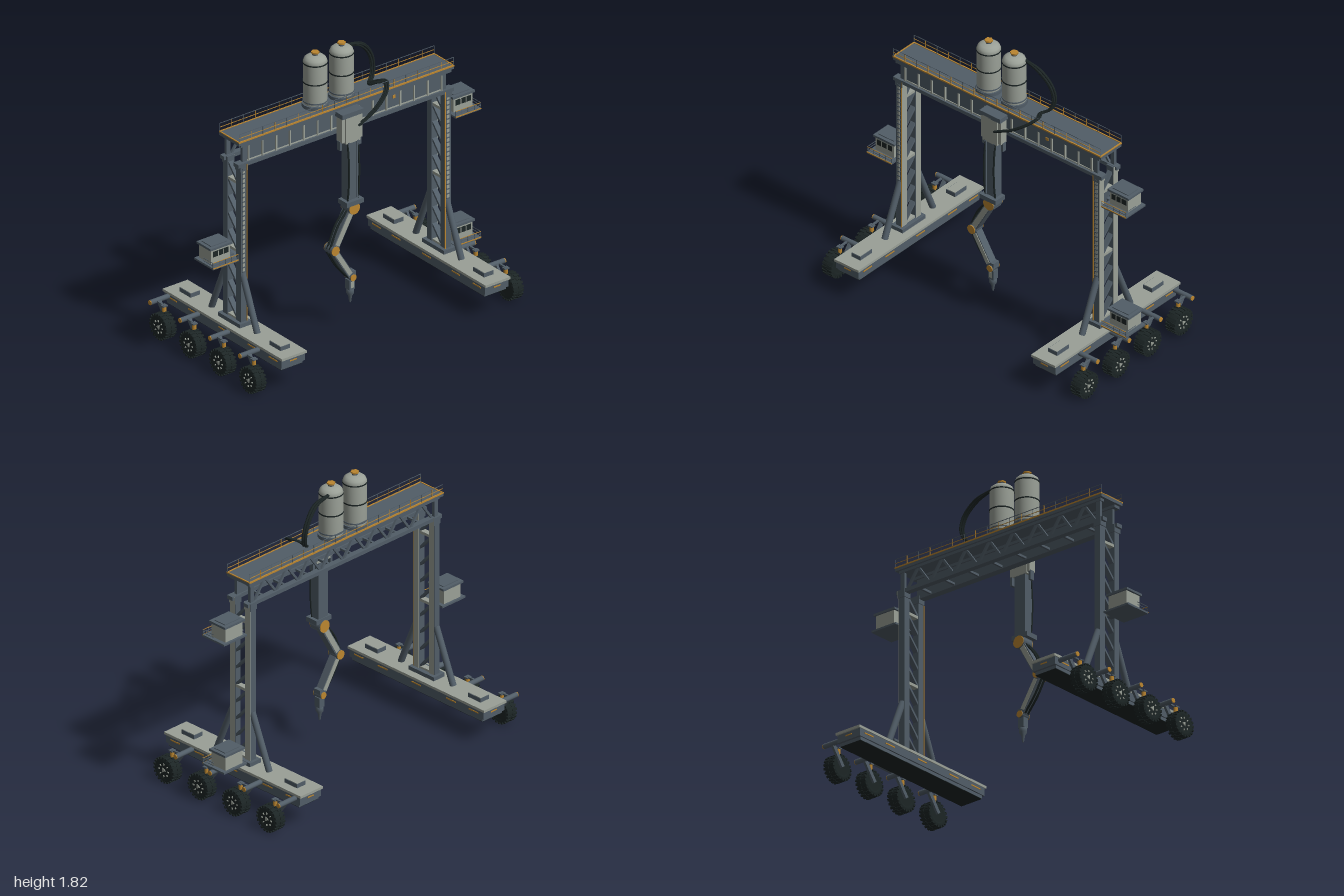
import * as THREE from 'three';

const mat = (name, color) => Object.assign(new THREE.MeshStandardMaterial({ color }), { name });
const light = mat('pale grey paint', 0x9aa097);
const slate = mat('slate steel', 0x515d67);
const dark = mat('black rubber', 0x1c2525);
const orange = mat('amber paint', 0xbb8630);
const UP = new THREE.Vector3(0, 1, 0);

const V = (a) => new THREE.Vector3(...a);
function add(parent, name, geo, m, x = 0, y = 0, z = 0) {
  const o = new THREE.Mesh(geo, m);
  o.name = name;
  o.position.set(x, y, z);
  parent.add(o);
  return o;
}
const box = (p, name, m, w, h, d, x, y, z) => add(p, name, new THREE.BoxGeometry(w, h, d), m, x, y, z);
// Box given by its limits
const span = (p, name, m, x0, x1, y0, y1, z0, z1) =>
  box(p, name, m, x1 - x0, y1 - y0, z1 - z0, (x0 + x1) / 2, (y0 + y1) / 2, (z0 + z1) / 2);
// Straight member between two points; round when d is left out
function beam(p, name, m, a, b, w, d) {
  const A = V(a), B = V(b), len = A.distanceTo(B);
  const geo = d ? new THREE.BoxGeometry(w, len, d) : new THREE.CylinderGeometry(w, w, len, 20);
  const o = add(p, name, geo, m);
  o.position.copy(A).add(B).multiplyScalar(0.5);
  o.quaternion.setFromUnitVectors(UP, B.sub(A).normalize());
  return o;
}
const tube = (p, name, m, pts, r) =>
  add(p, name, new THREE.TubeGeometry(new THREE.CatmullRomCurve3(pts.map(V)), 48, r, 7), m);
function group(parent, name, x = 0, y = 0, z = 0) {
  const g = new THREE.Group();
  g.name = name;
  g.position.set(x, y, z);
  parent.add(g);
  return g;
}

// Wheel on the outer side, with its swing arm and spring
function wheel(p, s, z) {
  const g = group(p, 'wheelUnit', 0, 0, z);
  const x = s * 0.96, y = 0.085;
  const profile = [[0.05, -0.034], [0.07, -0.038], [0.079, -0.028], [0.081, 0], [0.079, 0.028], [0.07, 0.038], [0.05, 0.034]];
  add(g, 'tyre', new THREE.LatheGeometry(profile.map((q) => new THREE.Vector2(...q)), 28), dark, x, y).rotation.z = Math.PI / 2;
  beam(g, 'rim', dark, [x - 0.033, y, 0], [x + 0.033, y, 0], 0.053);
  for (let i = 0; i < 20; i++) {
    const a = (i / 20) * Math.PI * 2;
    for (const k of [-1, 1]) {
      const b = a + k * 0.08;
      box(g, 'treadLug', dark, 0.036, 0.012, 0.014, x + k * 0.02, y + 0.078 * Math.cos(b), 0.078 * Math.sin(b)).rotation.x = b;
    }
  }
  for (let i = 0; i < 8; i++) {
    const a = (i / 8) * Math.PI * 2;
    box(g, 'wheelBolt', light, 0.008, 0.011, 0.007, x + s * 0.034, y + 0.038 * Math.cos(a), 0.038 * Math.sin(a)).rotation.x = a;
  }
  const cap = add(g, 'hubCap', new THREE.CylinderGeometry(0.017, 0.017, 0.008, 3), light, x + s * 0.035, y);
  cap.rotation.set(Math.PI, 0, Math.PI / 2);
  beam(g, 'armShaft', slate, [s * 0.83, 0.206, -0.09], [s * 0.985, 0.206, -0.09], 0.016);
  beam(g, 'armCap', orange, [s * 0.983, 0.206, -0.09], [s * 0.99, 0.206, -0.09], 0.015);
  beam(g, 'swingArm', slate, [s * 0.921, 0.206, -0.09], [s * 0.921, y, 0], 0.016, 0.026);
  beam(g, 'spring', orange, [s * 0.94, 0.16, -0.015], [s * 0.94, 0.2, -0.015], 0.013);
  box(g, 'springCap', slate, 0.034, 0.008, 0.03, s * 0.94, 0.203, -0.015);
  beam(g, 'springLink', slate, [s * 0.94, 0.203, -0.015], [s * 0.94, 0.206, -0.09], 0.012, 0.01);
}

// Long base, trussed tower, braces and wheels of one side
function side(p, s) {
  const g = group(p, s > 0 ? 'leftLeg' : 'rightLeg');
  const c = s * 0.76;
  box(g, 'baseDeck', light, 0.186, 0.016, 1.14, c, 0.228, 0);
  box(g, 'baseBody', slate, 0.176, 0.05, 1.12, c, 0.195, 0);
  box(g, 'baseKeel', slate, 0.16, 0.02, 1.09, c, 0.16, 0);
  box(g, 'undersidePlate', dark, 0.158, 0.003, 1.088, c, 0.149, 0);
  for (const z of [-0.43, 0.43]) {
    box(g, 'hatch', slate, 0.07, 0.026, 0.106, c, 0.249, z);
    box(g, 'hatchLid', light, 0.064, 0.003, 0.1, c, 0.263, z);
    box(g, 'endStripe', orange, 0.05, 0.008, 0.004, c, 0.2, Math.sign(z) * 0.56);
  }
  for (const z of [-0.48, -0.29, 0, 0.28, 0.48])
    for (const k of [-1, 1]) box(g, 'sideStripe', orange, 0.004, 0.008, 0.08, c + k * 0.0885, 0.2, z);
  for (const z of [-0.43, -0.143, 0.143, 0.43]) wheel(g, s, z);

  const t = group(g, 'tower', s * 0.762, 0, 0);
  box(t, 'towerFoot', slate, 0.09, 0.026, 0.21, 0, 0.248, 0.004);
  for (const z of [0.067, -0.06]) {
    box(t, 'post', slate, 0.044, 1.07, 0.044, 0, 0.775, z);
    box(t, 'postSidePlate', light, 0.004, 1.06, 0.042, 0.0225, 0.775, z);
    box(t, 'postHead', slate, 0.054, 0.05, 0.052, 0, 1.285, z);
    box(t, 'postHeadPlate', light, 0.004, 0.048, 0.05, 0.027, 1.285, z);
    const q = Math.sign(z);
    beam(t, 'brace', slate, [0, 0.235, q * 0.218], [0, 0.58, q * 0.075], 0.02);
  }
  span(t, 'rearStub', slate, -0.015, 0.015, 1.3, 1.45, -0.076, -0.056);
  // Zigzag lattice
  for (let i = 0; i < 9; i++) {
    const y = 0.27 + i * 0.113;
    beam(t, 'diagonal', slate, [0, y, 0.048], [0, y + 0.1, -0.042], 0.034, 0.014);
    if (i % 4 === 0) box(t, 'crossTie', light, 0.036, 0.018, 0.09, 0, y - 0.005, 0.003);
  }
  // Ladder on the front face
  box(t, 'ladderBack', light, 0.016, 0.75, 0.004, 0, 0.92, 0.09);
  for (let i = 0; i < 24; i++) box(t, 'rung', slate, 0.022, 0.007, 0.006, 0, 0.56 + i * 0.031, 0.092);
  box(t, 'edgeStripe', orange, 0.006, 1.04, 0.005, -s * 0.022, 0.78, 0.091);
}

// Cabin hung on the outer side of a tower; y is the floor
function cabin(p, s, y) {
  const g = group(p, 'cabin', s * 0.905, y, 0);
  box(g, 'cabinFloor', slate, 0.19, 0.012, 0.18, 0, 0.006, 0.01);
  box(g, 'floorTrim', orange, 0.19, 0.006, 0.004, 0, 0.009, 0.101);
  box(g, 'cabinWalls', light, 0.14, 0.095, 0.115, 0, 0.058, -0.008);
  box(g, 'cabinRoof', slate, 0.164, 0.014, 0.135, 0, 0.111, -0.008);
  box(g, 'roofUnit', slate, 0.12, 0.006, 0.09, 0, 0.12, -0.008);
  box(g, 'frontWindow', dark, 0.115, 0.035, 0.004, 0, 0.072, 0.051);
  for (const x of [-0.02, 0.02]) box(g, 'windowBar', light, 0.006, 0.035, 0.004, x, 0.072, 0.053);
  box(g, 'bracket', slate, 0.03, 0.01, 0.04, -s * 0.108, 0.006, 0);
  for (const h of [0.028, 0.045]) {
    box(g, 'frontRail', h > 0.03 ? orange : slate, 0.19, 0.003, 0.003, 0, h, 0.098);
    box(g, 'sideRail', slate, 0.003, 0.003, 0.09, s * 0.094, h, 0.053);
  }
  for (let i = 0; i < 5; i++) box(g, 'railPost', slate, 0.003, 0.036, 0.003, -0.094 + i * 0.047, 0.028, 0.098);
}

function bridge(p) {
  const g = group(p, 'bridge');
  span(g, 'deck', slate, -0.803, 0.803, 1.437, 1.46, -0.093, 0.095);
  // Front plate girder
  span(g, 'girderWeb', slate, -0.76, 0.76, 1.305, 1.44, 0.055, 0.075);
  span(g, 'topFlange', slate, -0.785, 0.785, 1.42, 1.44, 0.045, 0.092);
  span(g, 'bottomFlange', slate, -0.805, 0.805, 1.288, 1.312, 0.045, 0.092);
  for (let i = 0; i <= 14; i++) box(g, 'stiffener', light, 0.009, 0.106, 0.012, -0.72 + i * 0.1029, 1.366, 0.08);
  box(g, 'girderTrim', light, 1.46, 0.007, 0.006, 0, 1.317, 0.077);
  box(g, 'signalPlate', orange, 0.02, 0.02, 0.004, 0.37, 1.385, 0.077);
  // Rear open truss and floor ties
  span(g, 'rearTopChord', slate, -0.785, 0.785, 1.42, 1.44, -0.08, -0.05);
  span(g, 'rearBottomChord', slate, -0.805, 0.805, 1.288, 1.312, -0.082, -0.045);
  for (let i = 0; i < 16; i++) {
    const x = -0.74 + i * 0.0925, up = i % 2;
    beam(g, 'trussDiagonal', slate, [x, up ? 1.43 : 1.3, -0.064], [x + 0.0925, up ? 1.3 : 1.43, -0.064], 0.014, 0.014);
    if (up) box(g, 'floorTie', slate, 0.014, 0.014, 0.12, x, 1.3, 0);
  }
  // Edge stripes and hand rails
  for (const x of [-0.8, 0.8]) box(g, 'deckEndStripe', orange, 0.008, 0.006, 0.186, x, 1.46, 0.001);
  for (const z of [-0.092, 0.094]) {
    box(g, 'deckStripe', orange, 1.608, 0.009, 0.008, 0, 1.459, z);
    box(g, 'topRail', slate, 1.6, 0.003, 0.003, 0, 1.514, z);
    box(g, 'midRail', orange, 1.6, 0.003, 0.003, 0, 1.488, z);
    for (let i = 0; i <= 18; i++) box(g, 'railPost', i % 2 ? orange : slate, 0.003, 0.055, 0.003, -0.8 + i * 0.0889, 1.487, z);
  }
}

function tank(p, x) {
  const g = group(p, 'tank', x, 0, -0.01);
  const profile = [[0.062, 1.475], [0.073, 1.485], [0.073, 1.755], [0.066, 1.775], [0.05, 1.788], [0.025, 1.795], [0, 1.796]];
  add(g, 'shell', new THREE.LatheGeometry(profile.map((q) => new THREE.Vector2(...q)), 32), light);
  beam(g, 'tankFoot', slate, [0, 1.455, 0], [0, 1.482, 0], 0.08);
  for (const y of [1.5, 1.625, 1.75]) beam(g, 'band', y === 1.5 ? slate : dark, [0, y - 0.004, 0], [0, y + 0.004, 0], 0.0755);
  beam(g, 'neck', slate, [0, 1.785, 0], [0, 1.807, 0], 0.018);
  add(g, 'cap', new THREE.CylinderGeometry(0.026, 0.026, 0.01, 6), orange, 0, 1.812, 0);
}

// Trolley, mast and jointed arm on the front of the bridge
function arm(p) {
  const g = group(p, 'printArm', 0, 0, 0.13);
  span(g, 'trolleyTop', slate, -0.08, 0.08, 1.405, 1.435, -0.04, 0.03);
  span(g, 'trolleyBody', light, -0.055, 0.055, 1.235, 1.41, -0.035, 0.03);
  for (const s of [-1, 1]) {
    box(g, 'trolleyCheek', light, 0.022, 0.16, 0.05, s * 0.066, 1.325, -0.005);
    box(g, 'trolleyGuide', slate, 0.016, 0.06, 0.03, s * 0.072, 1.22, -0.01);
  }
  span(g, 'mast', slate, -0.04, 0.04, 0.84, 1.25, -0.03, 0.025);
  for (const s of [-1, 1]) box(g, 'mastRail', slate, 0.012, 0.38, 0.01, s * 0.033, 1.05, 0.028);
  box(g, 'mastCollar', slate, 0.124, 0.03, 0.086, 0, 0.84, 0.008);
  box(g, 'mastFork', slate, 0.07, 0.06, 0.07, 0, 0.805, 0.003);

  const joints = [[0, 0.8, 0.04], [-0.137, 0.557, 0.03], [0, 0.335, 0.022]];
  joints.forEach(([x, y, r], i) => {
    const d = 0.04 - i * 0.005;
    beam(g, 'jointDrum', slate, [x, y, -d], [x, y, d], r);
    for (const k of [-1, 1]) beam(g, 'jointDisc', orange, [x, y, k * d], [x, y, k * (d + 0.005)], r * 0.97);
  });
  for (let i = 0; i < 2; i++) {
    const [ax, ay] = joints[i], [bx, by] = joints[i + 1];
    const w = i ? 0.04 : 0.046, d = i ? 0.05 : 0.06;
    const at = (f, z) => [ax + (bx - ax) * f, ay + (by - ay) * f, z];
    beam(g, 'armSegment', slate, at(0, 0), at(1, 0), w, d);
    for (const k of [-1, 1]) beam(g, 'armPanel', light, at(0.12, k * d * 0.5), at(0.88, k * d * 0.5), w * 0.72, 0.008);
    const mx = (ax + bx) / 2, my = (ay + by) / 2;
    for (const z of [-0.012, 0.012])
      tube(g, 'armHose', dark, [[ax - 0.03, ay - 0.01, z], [mx - 0.034, my + (i ? -0.01 : 0.02), z], [bx - 0.025, by + 0.005, z]], 0.007);
  }
  // Tool head
  box(g, 'toolWrist', slate, 0.048, 0.03, 0.05, 0, 0.358, 0);
  box(g, 'toolBody', slate, 0.042, 0.065, 0.042, 0, 0.285, 0);
  box(g, 'toolPlate', light, 0.022, 0.04, 0.004, 0, 0.285, 0.022);
  const nozzle = [[0, 0.158], [0.006, 0.165], [0.012, 0.205], [0.024, 0.225], [0.024, 0.25], [0.014, 0.262]];
  add(g, 'nozzle', new THREE.LatheGeometry(nozzle.map((q) => new THREE.Vector2(...q)), 20), slate);
  for (const s of [-1, 1])
    tube(g, 'mastHose', dark, [[s * 0.038, 1.24, 0.025], [s * 0.038, 1.1, 0.038], [s * 0.038, 0.95, 0.036], [s * 0.038, 0.845, 0.025]], 0.006);
}

export function createModel() {
  const model = new THREE.Group();
  model.name = 'gantryPrinter';
  for (const s of [-1, 1]) side(model, s);
  cabin(model, 1, 1.105);
  cabin(model, 1, 0.25);
  cabin(model, -1, 0.68);
  bridge(model);
  for (const x of [-0.152, 0.045]) tank(model, x);
  arm(model);
  // Supply hoses dip behind the deck rail, then loop over it to the trolley
  const path = [[0.1, 1.765, -0.045], [0.21, 1.735, -0.045], [0.29, 1.65, -0.058], [0.315, 1.56, -0.058], [0.295, 1.5, -0.04],
    [0.255, 1.475, -0.01], [0.28, 1.498, 0.035], [0.305, 1.505, 0.08], [0.27, 1.47, 0.125], [0.17, 1.4, 0.155], [0.04, 1.335, 0.163]];
  for (let i = 0; i < 5; i++) {
    const a = (i / 5) * Math.PI * 2;
    tube(model, 'supplyHose', dark, path.map(([x, y, z], j) => {
      const r = j % 10 ? 0.011 : 0.005;
      return [x + r * Math.cos(a), y + r * 0.5 * Math.cos(a), z + r * Math.sin(a)];
    }), 0.006);
  }
  return model;
}
